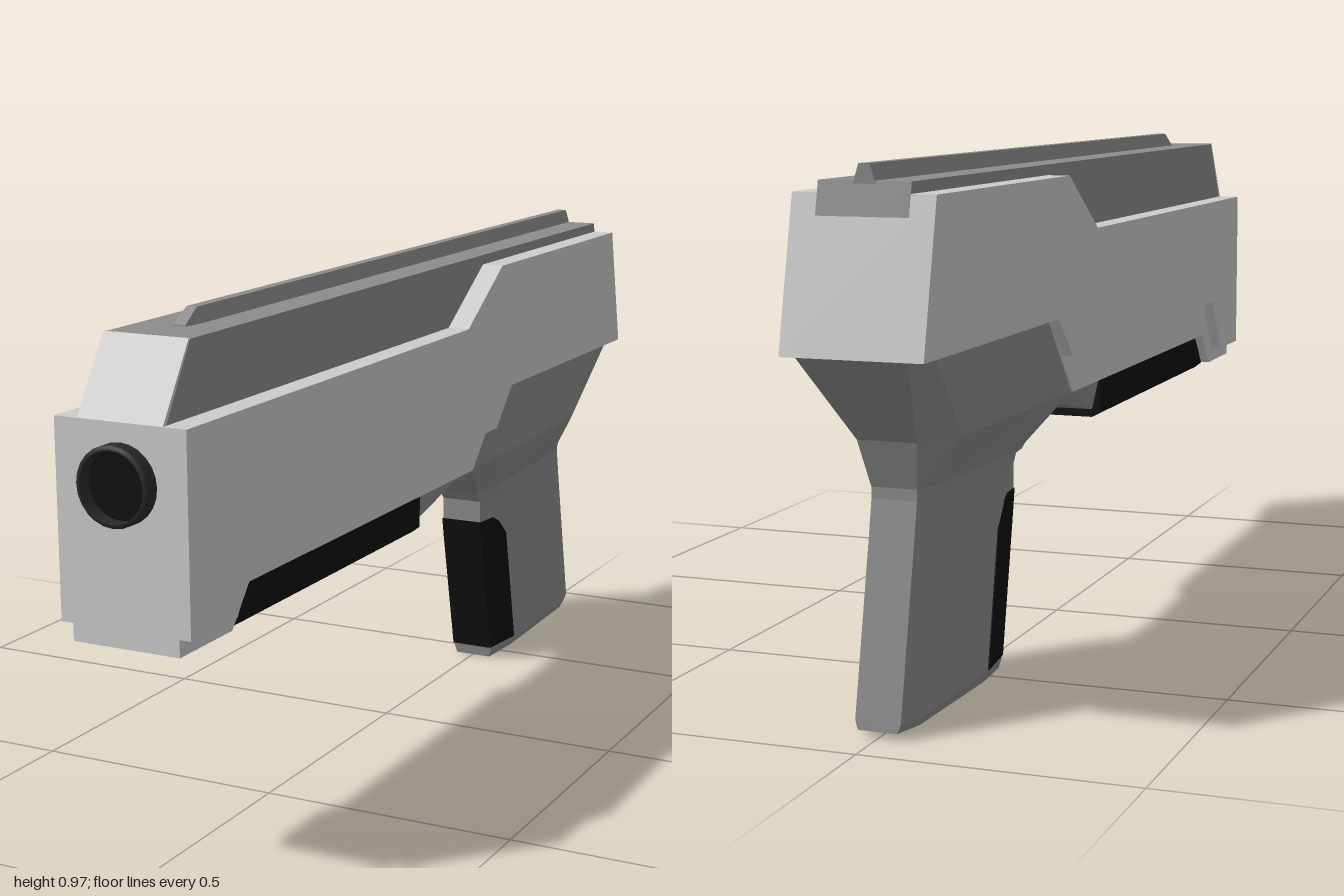
import * as THREE from 'three';

const mat = (color) => new THREE.MeshStandardMaterial({ color, flatShading: true });

// Side profile given as [z, y] points, extruded symmetrically to half width w
function profile(points, w) {
  const shape = new THREE.Shape(points.map(([z, y]) => new THREE.Vector2(z, y)));
  const g = new THREE.ExtrudeGeometry(shape, { depth: 2 * w, bevelEnabled: false });
  return g.translate(0, 0, -w).rotateY(-Math.PI / 2);
}

// Skin over equal-length rings of [x, y, z], closed with caps
function loft(rings) {
  const pos = [];
  const n = rings[0].length;
  const tri = (a, b, c) => pos.push(...a, ...b, ...c);
  for (let r = 0; r < rings.length - 1; r++) {
    const lo = rings[r], hi = rings[r + 1];
    for (let i = 0; i < n; i++) {
      const j = (i + 1) % n;
      tri(lo[i], lo[j], hi[j]);
      tri(lo[i], hi[j], hi[i]);
    }
  }
  const first = rings[0], last = rings[rings.length - 1];
  for (let i = 1; i < n - 1; i++) {
    tri(first[0], first[i + 1], first[i]);
    tri(last[0], last[i], last[i + 1]);
  }
  const g = new THREE.BufferGeometry();
  g.setAttribute('position', new THREE.Float32BufferAttribute(pos, 3));
  g.computeVertexNormals();
  return g;
}

// Horizontal eight-sided ring, narrower at its front and back
function gripRing(yFront, yBack, zFront, zBack, w, wFront, wBack) {
  const right = [[wFront, 0], [w, 0.22], [w, 0.86], [wBack, 1]];
  const left = right.map(([x, t]) => [-x, t]).reverse();
  return [left[3], ...right, ...left.slice(0, 3)].map(([x, t]) => [
    x, THREE.MathUtils.lerp(yFront, yBack, t), THREE.MathUtils.lerp(zFront, zBack, t)]);
}

// Vertical trapezoid ring at depth z
const trapezoid = (z, yLow, yHigh, wLow, wHigh) =>
  [[-wLow, yLow, z], [wLow, yLow, z], [wHigh, yHigh, z], [-wHigh, yHigh, z]];

export function createModel() {
  const model = new THREE.Group();
  const light = mat(0xcccccc), dark = mat(0x8c8c8c), black = mat(0x101010);
  const tubeMat = new THREE.MeshStandardMaterial({ color: 0x2a2a2a });
  const add = (name, geometry, material) => {
    const mesh = new THREE.Mesh(geometry, material);
    mesh.name = name;
    model.add(mesh);
    return mesh;
  };

  // Wide outer shell with raised rear
  add('outerShell', profile([
    [0.97, 0.815], [-0.12, 0.815], [-0.29, 0.925], [-0.94, 0.925], [-1, 0.66],
    [-0.35, 0.66], [-0.27, 0.58], [0.75, 0.58], [0.82, 0.46], [0.97, 0.46],
  ], 0.128), light);

  // Narrower lower frame with a front block
  add('lowerFrame', profile([
    [0.969, 0.64], [0.969, 0.428], [0.8, 0.428], [0.74, 0.5], [-0.2, 0.5], [-0.34, 0.65],
  ], 0.105), light);

  // Top slide, its sloped nose and the sighting rib
  add('slide', profile([
    [0.966, 0.81], [0.883, 0.945], [-0.9355, 0.945], [-0.966, 0.81],
  ], 0.083), dark);
  add('slideNose', profile([
    [0.97, 0.813], [0.885, 0.946], [0.88, 0.946], [0.96, 0.813],
  ], 0.0832), light);
  add('topRib', loft([
    trapezoid(-0.937, 0.94, 0.973, 0.02, 0.01),
    trapezoid(0.74, 0.94, 0.973, 0.02, 0.01),
    trapezoid(0.78, 0.94, 0.947, 0.018, 0.012),
  ]), dark);

  // Muzzle: short hollow tube with a black bore
  const r = 0.07, bore = 0.062;
  const muzzle = add('muzzle', new THREE.LatheGeometry([
    [r, 0], [r, 0], [r, 0.026], [r, 0.026], [r - 0.003, 0.03], [bore, 0.03], [bore, 0.03], [bore, 0.002],
  ].map(([x, y]) => new THREE.Vector2(x, y)), 24), tubeMat);
  muzzle.material.side = THREE.DoubleSide;
  muzzle.rotation.x = Math.PI / 2;
  muzzle.position.set(0, 0.712, 0.97);
  add('bore', new THREE.CircleGeometry(bore, 24), black).position.set(0, 0.712, 0.972);

  // Black rail under the frame, and the wedge behind it
  add('underRail', loft([
    [0.02, 0.8].map((z) => z),
  ].flat().map((z) => [
    [-0.07, 0.414, z], [0.07, 0.414, z], [0.086, 0.426, z],
    [0.086, 0.51, z], [-0.086, 0.51, z], [-0.086, 0.426, z],
  ])), black);
  add('rearWedge', loft([
    trapezoid(-0.45, 0.4, 0.52, 0.05, 0.08),
    trapezoid(-0.35, 0.41, 0.52, 0.053, 0.085),
    trapezoid(-0.28, 0.455, 0.52, 0.058, 0.09),
    trapezoid(-0.2, 0.475, 0.52, 0.065, 0.09),
    trapezoid(0.02, 0.43, 0.52, 0.07, 0.09),
  ]), dark);

  // Rear frame funnelling down into the grip
  add('rearFrame', loft([
    gripRing(0.41, 0.42, -0.355, -0.832, 0.057, 0.05, 0.042),
    gripRing(0.5, 0.505, -0.2, -0.86, 0.1, 0.1, 0.055),
    gripRing(0.661, 0.661, -0.35, -0.998, 0.108, 0.105, 0.1),
  ]), dark);

  // Raked grip with a slightly pinched foot
  add('grip', loft([
    gripRing(0.004, 0.016, -0.445, -0.913, 0.05, 0.04, 0.036),
    gripRing(0.022, 0.032, -0.442, -0.91, 0.057, 0.045, 0.042),
    gripRing(0.335, 0.335, -0.375, -0.845, 0.057, 0.045, 0.042),
    gripRing(0.385, 0.4, -0.374, -0.832, 0.057, 0.045, 0.042),
    gripRing(0.43, 0.44, -0.34, -0.83, 0.057, 0.045, 0.042),
  ]), dark);

  // Black wrap on the front strap
  add('gripInsert', loft([
    [0.028, -0.437, -0.545, 0.059],
    [0.29, -0.381, -0.49, 0.059],
    [0.325, -0.374, -0.455, 0.056],
    [0.338, -0.372, -0.43, 0.053],
  ].map(([y, zf, zb, w]) =>
    [[-0.046, y, zf], [0.046, y, zf], [w, y, zb], [-w, y, zb]])), black);

  // Dark plate set in the foot of the grip
  const plate = add('footPlate', new THREE.BoxGeometry(0.066, 0.004, 0.36), black);
  plate.rotation.x = 0.026;
  plate.position.set(0, 0.011, -0.69);

  return model;
}
